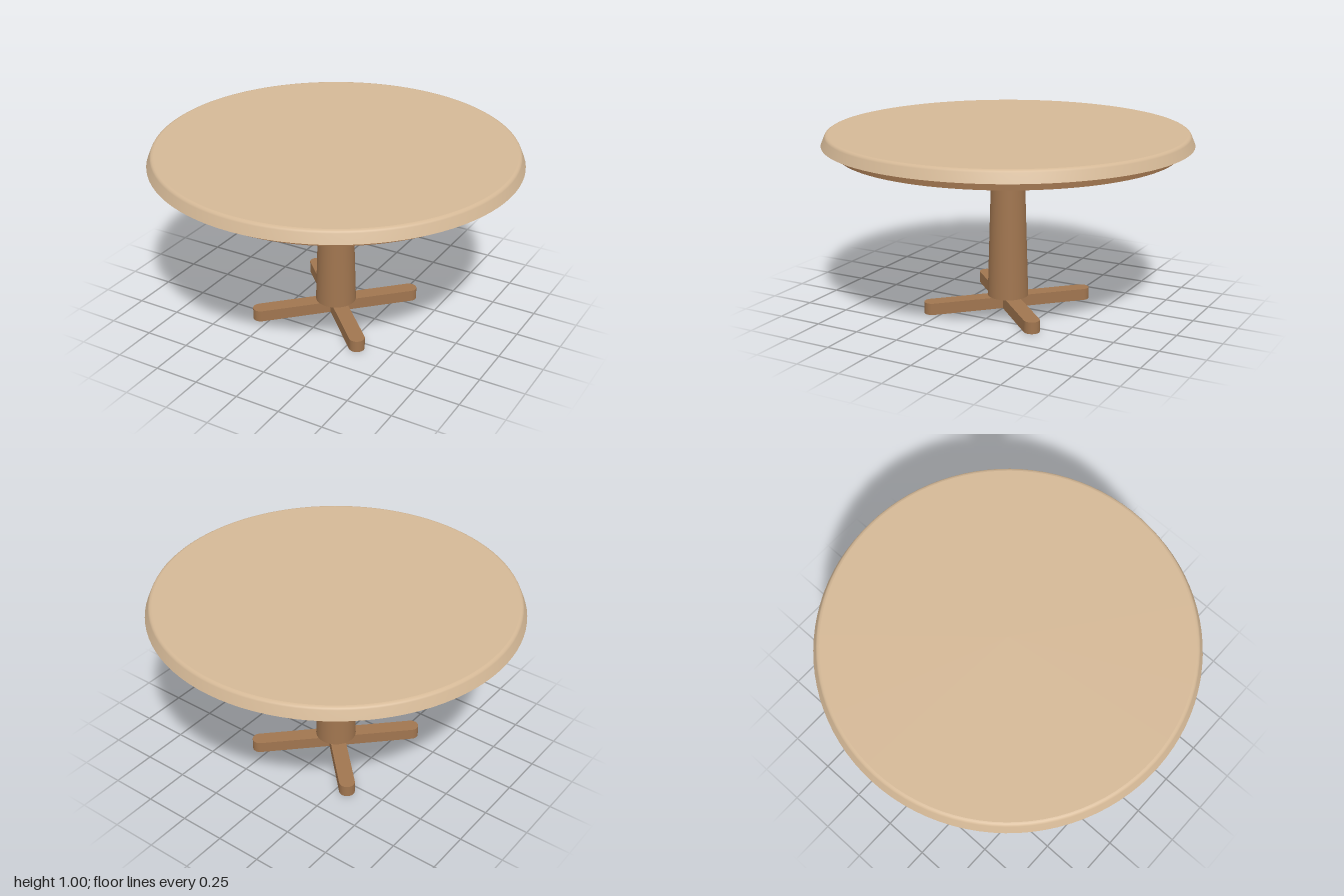
import * as THREE from 'three';

const topWood = new THREE.MeshStandardMaterial({ name: 'paleWood', color: 0xd4b896 });
const baseWood = new THREE.MeshStandardMaterial({ name: 'brownWood', color: 0xa0754f });

function add(group, name, geometry, material, y = 0) {
  const mesh = new THREE.Mesh(geometry, material);
  mesh.name = name;
  mesh.position.y = y;
  group.add(mesh);
  return mesh;
}

export function createModel() {
  const table = new THREE.Group();
  table.name = 'roundTable';

  // Table top: sloping rim with a softened upper edge; doubled points keep edges sharp
  const profile = [
    [0, 0.938], [1, 0.938], [1, 0.938], [0.98, 0.986], [0.976, 0.993],
    [0.969, 0.998], [0.96, 1], [0.96, 1], [0, 1],
  ].map(([r, y]) => new THREE.Vector2(r, y));
  add(table, 'tableTop', new THREE.LatheGeometry(profile, 96), topWood);

  // Apron disc under the top
  add(table, 'apron', new THREE.CylinderGeometry(0.92, 0.92, 0.05, 96), baseWood, 0.914);

  // Tapered pedestal
  add(table, 'pedestal', new THREE.CylinderGeometry(0.088, 0.113, 0.825, 48), baseWood, 0.4775);

  // Two crossed foot bars with rounded ends, set on the diagonals
  const reach = 0.434, half = 0.043, height = 0.065;
  const bar = new THREE.Shape();
  bar.moveTo(-reach, -half);
  bar.lineTo(reach, -half);
  bar.absarc(reach, 0, half, -Math.PI / 2, Math.PI / 2, false);
  bar.lineTo(-reach, half);
  bar.absarc(-reach, 0, half, Math.PI / 2, Math.PI * 1.5, false);
  const barGeometry = new THREE.ExtrudeGeometry(bar, { depth: height, bevelEnabled: false, curveSegments: 12 });
  barGeometry.rotateX(-Math.PI / 2);
  for (const side of [1, -1]) {
    const foot = add(table, side > 0 ? 'footBarA' : 'footBarB', barGeometry, baseWood);
    foot.rotation.y = side * Math.PI / 4;
  }

  return table;
}
